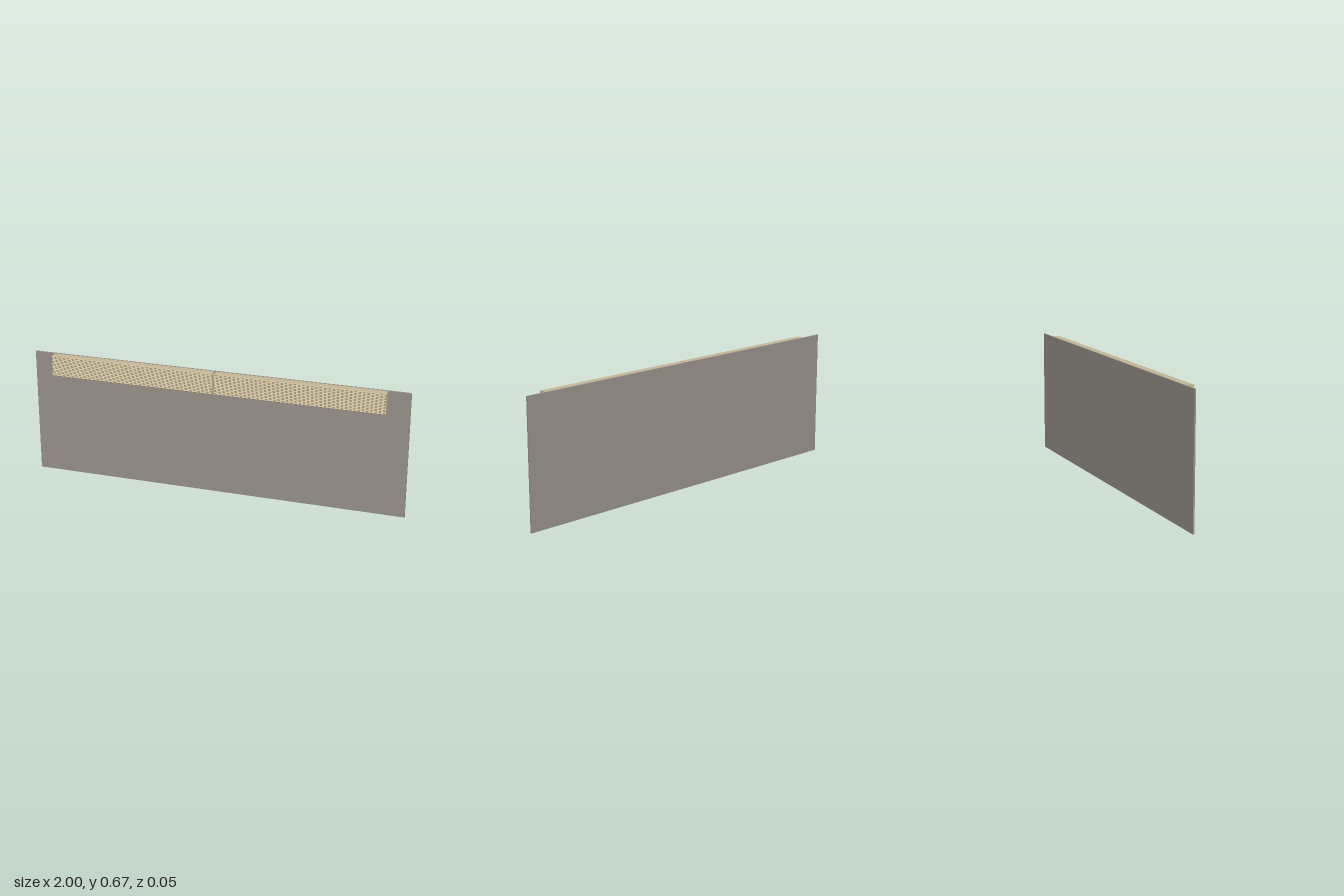
import * as THREE from 'three';

const BOTTOM = 0.555, TOP = 0.665, HALF = 0.886;
const PLEATS = 14, GAP = 0.004;

// Scalloped pleat section, extruded along x from x0 to x1
function pleatGeometry(x0, x1) {
  const back = 0.013, valley = 0.017, depth = 0.011, steps = 6;
  const pitch = (TOP - BOTTOM) / PLEATS;
  const shape = new THREE.Shape();
  shape.moveTo(-back, BOTTOM);
  for (let i = 0; i < PLEATS; i++) {
    for (let j = i ? 1 : 0; j <= steps; j++) {
      const a = (j / steps) * Math.PI;
      const y = BOTTOM + (i + 0.5 - 0.5 * Math.cos(a)) * pitch;
      shape.lineTo(-(valley + depth * Math.sin(a)), y);
    }
  }
  shape.lineTo(-back, TOP);
  shape.closePath();
  const geometry = new THREE.ExtrudeGeometry(shape, { depth: x1 - x0, bevelEnabled: false });
  geometry.rotateY(Math.PI / 2);
  geometry.translate(x0, 0, 0);
  return geometry;
}

export function createModel() {
  const model = new THREE.Group();
  const panelGrey = new THREE.MeshStandardMaterial({ color: 0x99928c });
  panelGrey.name = 'warm grey';
  const fabricTan = new THREE.MeshStandardMaterial({ color: 0xc6b898 });
  fabricTan.name = 'tan';

  function add(name, geometry, material) {
    const mesh = new THREE.Mesh(geometry, material);
    mesh.name = name;
    model.add(mesh);
    return mesh;
  }

  // Thin upright backing panel
  add('backPanel', new THREE.BoxGeometry(2, 0.666, 0.008), panelGrey).position.set(0, 0.333, -0.023);

  // Mounting rail and pleated front, one pair on each side of the centre gap
  for (const [side, x0, x1] of [['right', -HALF, -GAP], ['left', GAP, HALF]]) {
    add(side + 'Rail', new THREE.BoxGeometry(x1 - x0, TOP - BOTTOM, 0.032), fabricTan)
      .position.set((x0 + x1) / 2, (TOP + BOTTOM) / 2, -0.003);
    add(side + 'Pleats', pleatGeometry(x0, x1), fabricTan);
  }
  return model;
}
